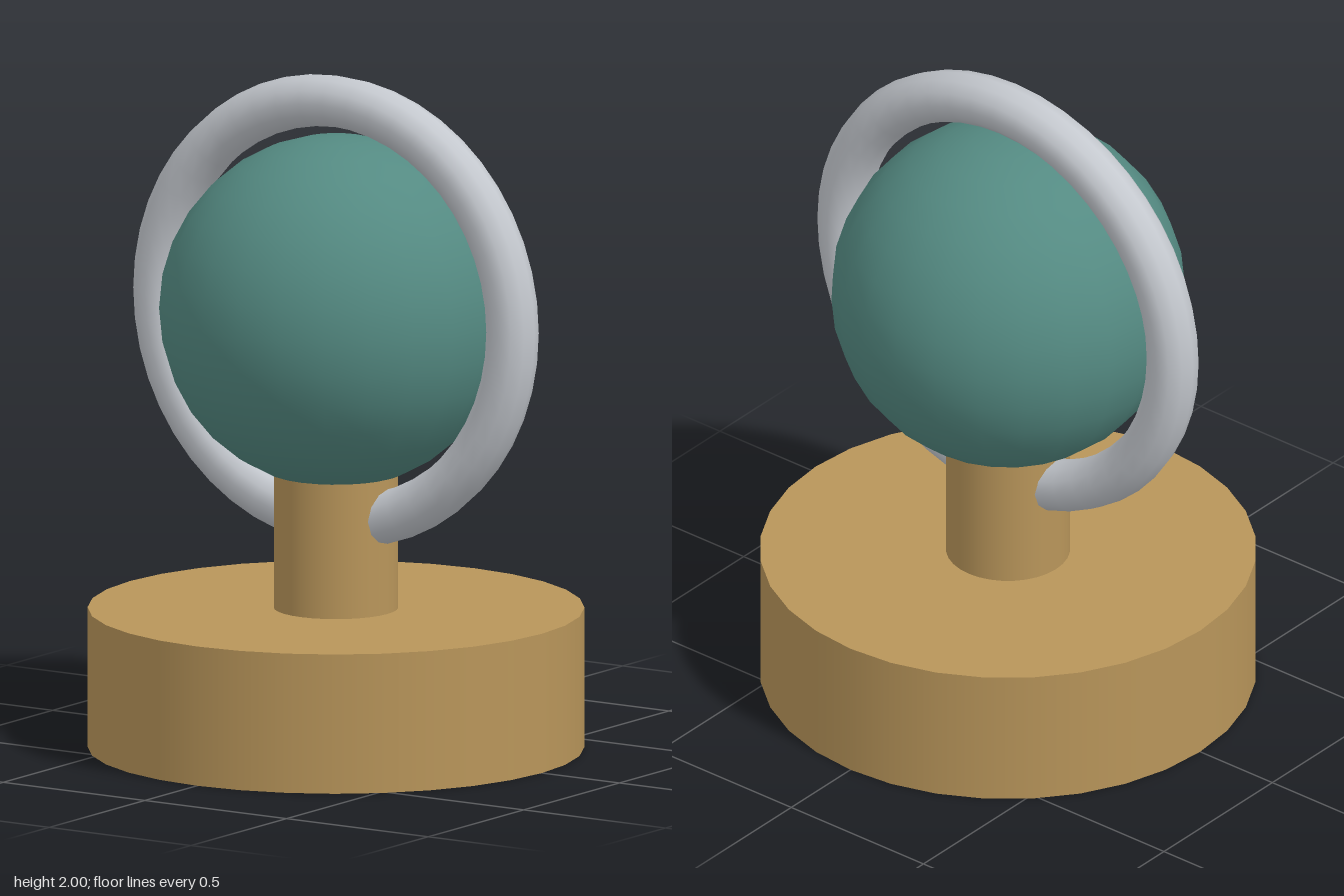
import * as THREE from 'three';

export function createModel() {
  const model = new THREE.Group();
  const material = (name, color) => {
    const m = new THREE.MeshStandardMaterial({ color });
    m.name = name;
    return m;
  };
  const brass = material('brass', 0xb8955a);
  const teal = material('teal', 0x548a82);
  const silver = material('silver', 0xc4c8ce);

  const add = (name, geometry, mat, y) => {
    const mesh = new THREE.Mesh(geometry, mat);
    mesh.name = name;
    mesh.position.y = y;
    model.add(mesh);
  };

  const baseHeight = 0.415, postTop = 0.818, globeY = 1.3;

  // Round stand and the post that holds the globe
  add('base', new THREE.CylinderGeometry(0.727, 0.727, baseHeight, 32), brass, baseHeight / 2);
  add('post', new THREE.CylinderGeometry(0.182, 0.182, postTop - baseHeight, 32), brass, (baseHeight + postTop) / 2);

  // Globe with an upright ring around it, passing through the post
  add('globe', new THREE.SphereGeometry(0.519, 24, 16), teal, globeY);
  add('ring', new THREE.TorusGeometry(0.623, 0.077, 12, 48), silver, globeY);

  return model;
}
